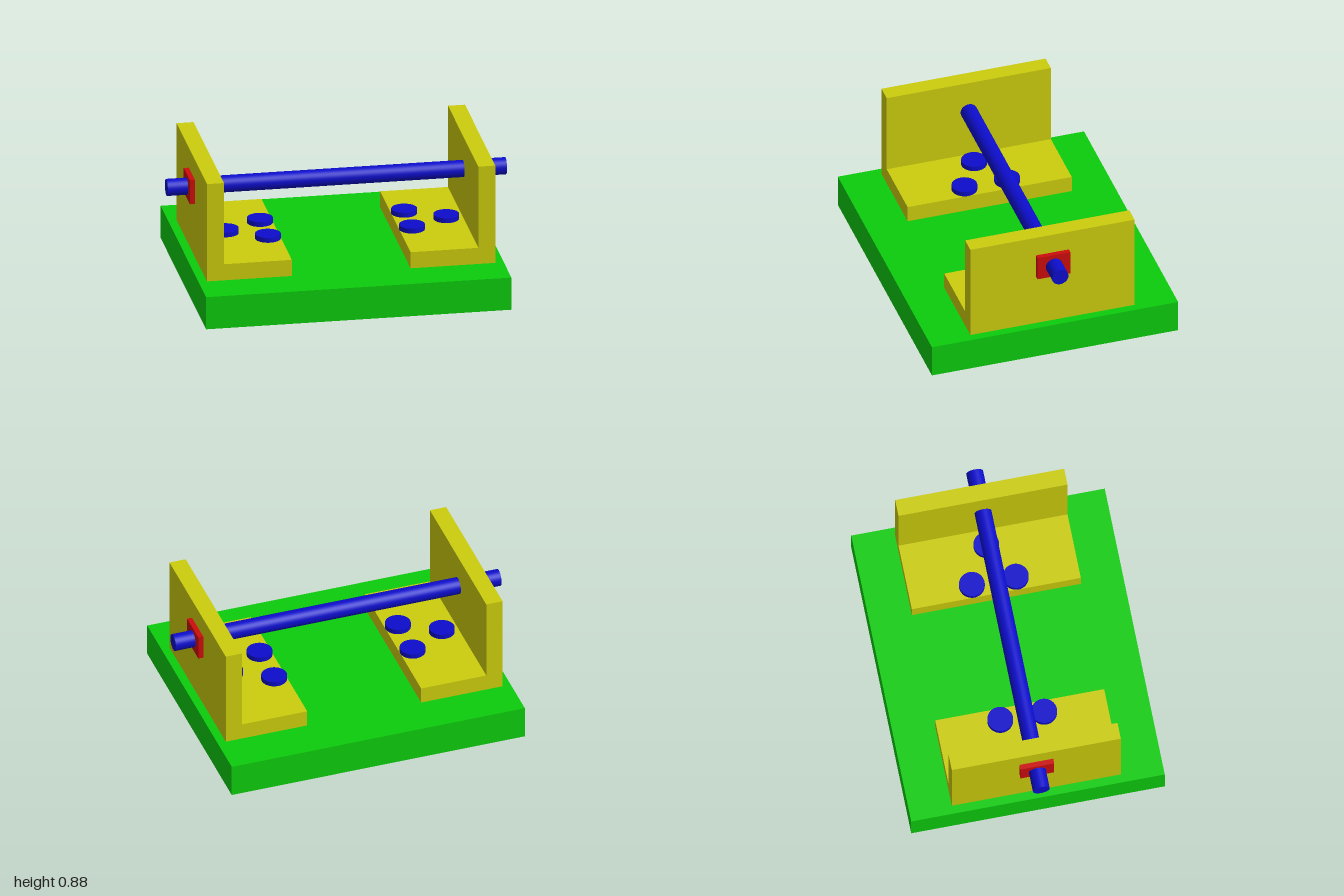
import * as THREE from 'three';

const mat = (name, color) => {
  const m = new THREE.MeshStandardMaterial({ color });
  m.name = name;
  return m;
};

export function createModel() {
  const green = mat('green', 0x0dcc0d);
  const yellow = mat('yellow', 0xcccc0d);
  const red = mat('red', 0xcc0d0d);
  const blue = mat('blue', 0x0d0dcc);

  const model = new THREE.Group();
  model.name = 'axleStand';

  const add = (parent, name, geometry, material, x, y, z) => {
    const mesh = new THREE.Mesh(geometry, material);
    mesh.name = name;
    mesh.position.set(x, y, z);
    parent.add(mesh);
    return mesh;
  };
  const box = (w, h, d) => new THREE.BoxGeometry(w, h, d);
  const cylinder = (r, h) => new THREE.CylinderGeometry(r, r, h, 48);

  // Base plate
  add(model, 'basePlate', box(1.8, 0.2, 1.5), green, 0, 0.17, 0);

  // Axle rod through both brackets
  add(model, 'axleRod', cylinder(0.05, 2), blue, 0, 0.675, 0).rotation.z = Math.PI / 2;

  for (const s of [1, -1]) {
    const side = s > 0 ? 'left' : 'right';

    // L-shaped bracket
    const profile = new THREE.Shape(
      [[0.35, 0.27], [0.85, 0.27], [0.85, 0.875], [0.75, 0.875], [0.75, 0.37], [0.35, 0.37]]
        .map(([x, y]) => new THREE.Vector2(s * x, y)));
    const bracket = new THREE.ExtrudeGeometry(profile, { depth: 1, bevelEnabled: false });
    add(model, side + 'Bracket', bracket, yellow, 0, 0, -0.5);

    // Nut holding the rod
    add(model, side + 'AxleNut', box(0.03, 0.15, 0.2), red, s * 0.865, 0.675, 0);

    // Three bolts fixing the bracket to the plate
    for (const [x, z] of [[0.65, 0], [0.425, 0.13], [0.425, -0.13]]) {
      const bolt = new THREE.Group();
      bolt.name = side + 'Bolt';
      bolt.position.set(s * x, 0, z);
      add(bolt, 'boltHead', cylinder(0.075, 0.03), blue, 0, 0.385, 0);
      add(bolt, 'boltShank', cylinder(0.05, 0.37), blue, 0, 0.185, 0);
      add(bolt, 'boltNut', box(0.15, 0.03, 0.2), red, 0, 0.055, 0);
      model.add(bolt);
    }
  }
  return model;
}
